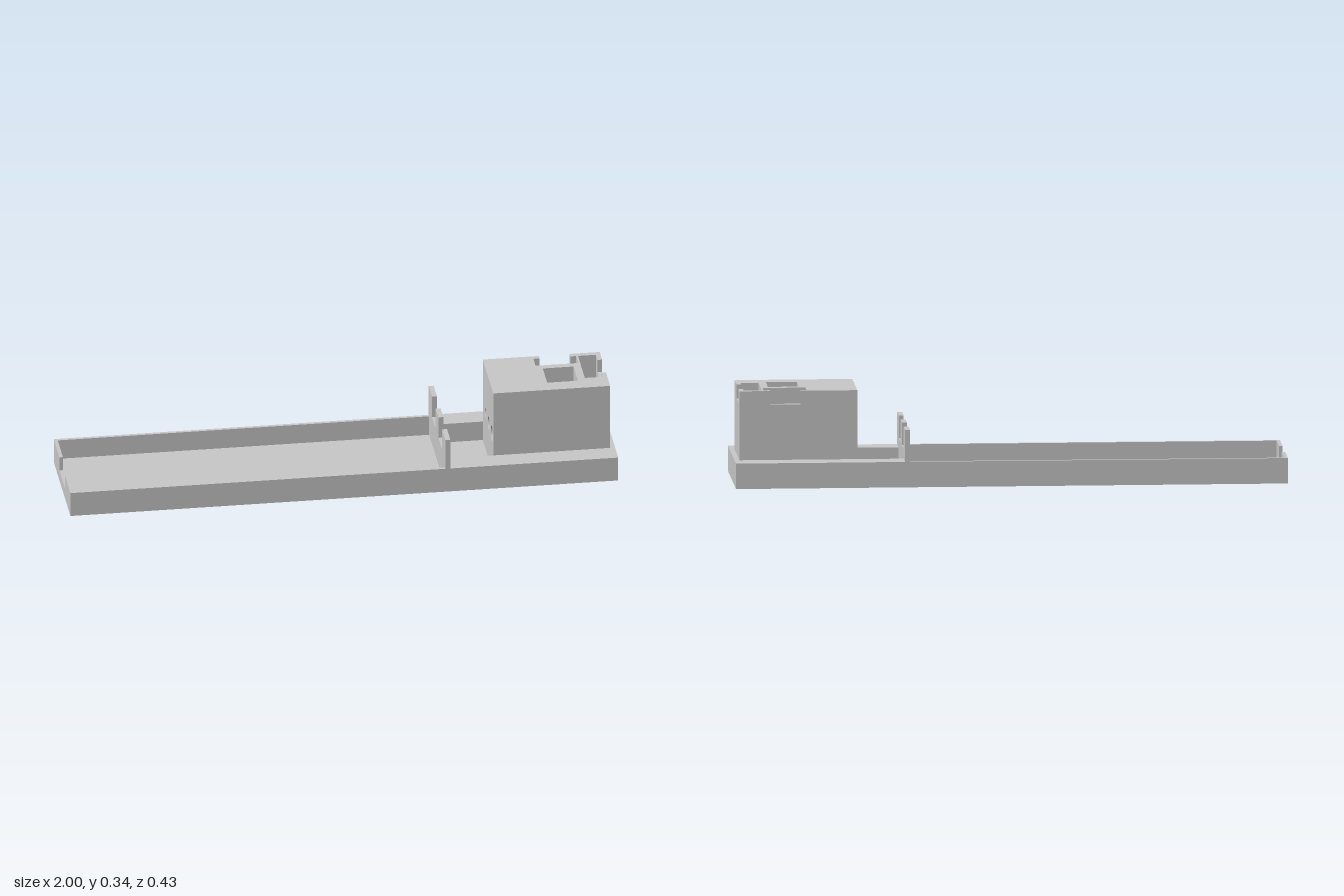
import * as THREE from 'three';

// Plan rectangle and outline helpers; points run clockwise in (x, z)
const rect = (x0, x1, z0, z1) => [[x0, z0], [x1, z0], [x1, z1], [x0, z1]];
const toPath = (pts, Type) => new Type(pts.map(([x, z]) => new THREE.Vector2(x, -z)).reverse());
const toShape = (pts) => new THREE.Shape(pts.map(([a, b]) => new THREE.Vector2(a, b)));

export function createModel() {
  const group = new THREE.Group();
  const gray = new THREE.MeshStandardMaterial({ color: 0xc8c8c8 });
  gray.name = 'plain gray';

  const add = (name, geometry) => {
    const mesh = new THREE.Mesh(geometry, gray);
    mesh.name = name;
    group.add(mesh);
  };
  // Plan outline in (x, z), raised from y0 to y1
  const layer = (name, y0, y1, outline, holes = []) => {
    const shape = toPath(outline, THREE.Shape);
    shape.holes = holes.map((h) => toPath(h, THREE.Path));
    const g = new THREE.ExtrudeGeometry(shape, { depth: y1 - y0, bevelEnabled: false });
    g.rotateX(-Math.PI / 2).translate(0, y0, 0);
    add(name, g);
  };
  // Upright outline in (-z, y), carried from x0 to x1
  const upright = (name, x0, x1, shape) => {
    const g = new THREE.ExtrudeGeometry(shape, { depth: x1 - x0, bevelEnabled: false, curveSegments: 20 });
    g.rotateY(Math.PI / 2).translate(x0, 0, 0);
    add(name, g);
  };

  const W = 0.215, floorY = 0.018, sillY = 0.04, deckY = 0.093;
  const inner = 0.203, divX0 = 0.369, divX1 = 0.387;
  const tray = rect(-0.987, divX0, -inner, inner);
  const recess = rect(divX1, 0.555, -0.135, 0.135);

  // Base: floor, lower walls, and upper walls with a gap in the tray end
  layer('baseFloor', 0, floorY, rect(-1, 1, -W, W));
  layer('lowerWalls', floorY, sillY, rect(-1, 1, -W, W), [tray, recess]);
  layer('upperWalls', sillY, deckY, [
    [-1, -W], [1, -W], [1, W], [-1, W], [-1, 0.07], [-0.987, 0.07],
    [-0.987, inner], [divX0, inner], [divX0, -inner], [-0.987, -inner],
    [-0.987, -0.07], [-1, -0.07],
  ], [recess]);

  // Divider with three posts
  const n = 0.127;
  upright('divider', divX0, divX1, toShape([
    [-W, deckY], [W, deckY], [W, 0.21], [0.13, 0.21], [0.13, n], [0.035, n],
    [0.035, 0.21], [-0.035, 0.21], [-0.035, n], [-0.13, n], [-0.13, 0.21], [-W, 0.21],
  ]));

  // Housing face with three round ports
  const top = 0.345, H = 0.135, midX = 0.7, endX = 0.982;
  const face = toShape([[-H, deckY], [H, deckY], [H, top], [-H, top]]);
  [[-0.064, 0.018], [0.02, 0.025], [0.1, 0.029]].forEach(([z, r]) => {
    face.holes.push(new THREE.Path().absarc(-z, 0.165, r, 0, Math.PI * 2, true));
  });
  upright('portBlock', 0.555, midX, face);

  // Housing body: stacked layers with a square well, two slots and side notches
  const well = rect(0.76, 0.872, -0.035, 0.078);
  const backSlot = rect(0.737, 0.893, -0.115, -0.06);
  const endSlot = rect(0.9, 0.965, -0.115, 0.06);
  const body = rect(midX, endX, -H, H);
  layer('housingFoot', floorY, deckY, rect(0.555, endX, -H, H));
  layer('housingLower', deckY, 0.19, body);
  layer('housingMiddle', 0.19, 0.245, body, [well]);
  layer('housingUpper', 0.245, 0.295, body, [well, backSlot, endSlot]);
  layer('housingRim', 0.295, top, [
    [midX, -H], [0.76, -H], [0.76, -0.115], [0.737, -0.115], [0.737, -0.06],
    [0.893, -0.06], [0.893, -0.115], [0.872, -0.115], [0.872, -H], [endX, -H],
    [endX, -0.074], [0.965, -0.074], [0.965, -0.115], [0.9, -0.115], [0.9, 0.06],
    [0.965, 0.06], [0.965, 0.026], [endX, 0.026], [endX, H], [midX, H],
  ], [well]);

  return group;
}
